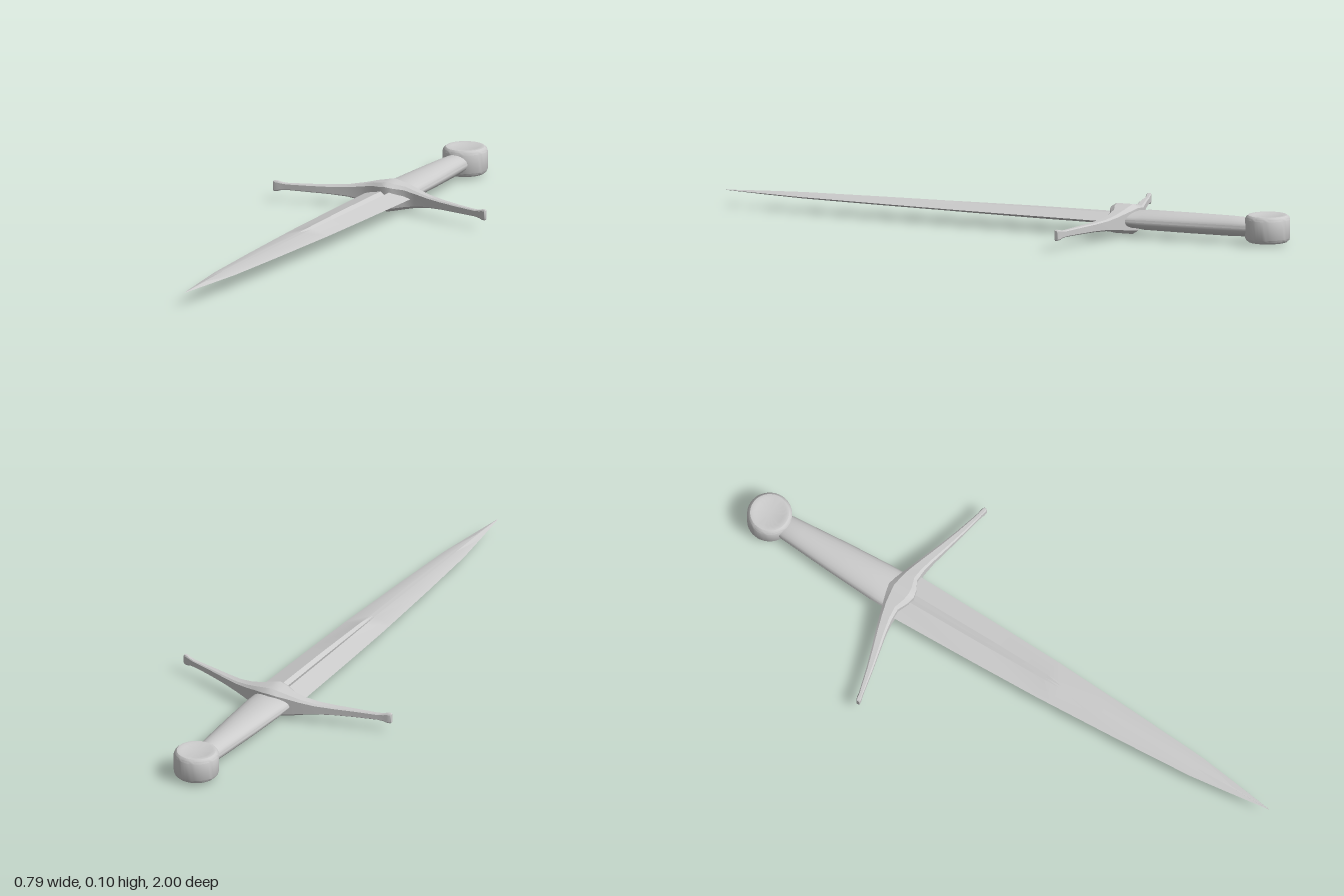
import * as THREE from 'three';
import { toCreasedNormals } from 'three/addons/utils/BufferGeometryUtils.js';

const MID = 0.051; // height of the dagger's centre plane

// Skin a list of closed rings (counter-clockwise seen from the loft direction) and cap both ends.
function loft(rings, crease) {
  const n = rings[0].length;
  const pos = rings.flat(2);
  const idx = [];
  for (let i = 0; i < rings.length - 1; i++) {
    for (let j = 0; j < n; j++) {
      const k = (j + 1) % n;
      const a = i * n + j, b = i * n + k, c = b + n, d = a + n;
      idx.push(a, b, c, a, c, d);
    }
  }
  const cap = (start, flip) => {
    const ring = rings[start / n];
    const centre = pos.length / 3;
    for (let m = 0; m < 3; m++) pos.push(ring.reduce((s, p) => s + p[m], 0) / n);
    for (let j = 0; j < n; j++) {
      const a = start + j, b = start + (j + 1) % n;
      if (flip) idx.push(centre, b, a);
      else idx.push(centre, a, b);
    }
  };
  cap(0, true);
  cap((rings.length - 1) * n, false);
  const g = new THREE.BufferGeometry();
  g.setAttribute('position', new THREE.Float32BufferAttribute(pos, 3));
  g.setIndex(idx);
  return toCreasedNormals(g, crease);
}

export function createModel() {
  const group = new THREE.Group();
  const material = new THREE.MeshStandardMaterial({ color: 0xcccccc });
  const add = (name, geometry) => {
    const mesh = new THREE.Mesh(geometry, material);
    mesh.name = name;
    group.add(mesh);
    return mesh;
  };

  // Blade: flattened diamond with a central fuller that fades out, then a sharp point.
  // z, half width, half thickness, shoulder of the fuller, fuller depth
  const blade = [
    [-0.42, 0.085, 0.019, 0.016, 0.009],
    [-0.1, 0.078, 0.018, 0.014, 0.008],
    [0.14, 0.071, 0.016, 0.01, 0.006],
    [0.2, 0.068, 0.0155, 0.008, 0],
    [0.45, 0.055, 0.013, 0.008, 0],
    [0.72, 0.038, 0.01, 0.005, 0],
    [0.86, 0.02, 0.006, 0.002, 0],
    [1.0, 0.0008, 0.0006, 0.0002, 0],
  ].map(([z, w, t, s, f]) => [
    [w, 0], [s, t], [0, t - f], [-s, t], [-w, 0], [-s, -t], [0, f - t], [s, -t],
  ].map(([x, y]) => [x, y + MID, z]));
  add('blade', loft(blade, 0.3));

  // Crossguard: chamfered bar sweeping toward the point, peaked in the middle, flared at the tips.
  // x, back z, front z, half height
  const half = [
    [0, -0.465, -0.37, 0.05],
    [0.025, -0.46, -0.376, 0.045],
    [0.06, -0.45, -0.394, 0.038],
    [0.1, -0.438, -0.394, 0.028],
    [0.15, -0.422, -0.386, 0.019],
    [0.21, -0.401, -0.372, 0.0145],
    [0.28, -0.378, -0.356, 0.0125],
    [0.35, -0.358, -0.342, 0.011],
    [0.37, -0.352, -0.338, 0.0135],
    [0.382, -0.35, -0.334, 0.0175],
    [0.393, -0.347, -0.333, 0.0175],
    [0.396, -0.345, -0.335, 0.015],
  ];
  const left = half.slice(1).reverse().map(([x, ...r]) => [-x, ...r]);
  const guard = [...left, ...half].map(([x, back, front, h]) => {
    const c = (back + front) / 2, d = (front - back) / 2;
    return [
      [0.75, -1], [1, -0.6], [1, 0.6], [0.75, 1],
      [-0.75, 1], [-1, 0.6], [-1, -0.6], [-0.75, -1],
    ].map(([v, u]) => [x, 0.05 + v * h, c + u * d]);
  });
  add('crossguard', loft(guard, 0.5));

  // Grip: smooth oval tapering toward the pommel.
  const grip = [
    [-0.88, 0.04, 0.026],
    [-0.855, 0.043, 0.031],
    [-0.8, 0.047, 0.033],
    [-0.65, 0.059, 0.033],
    [-0.5, 0.068, 0.032],
    [-0.47, 0.069, 0.028],
    [-0.43, 0.069, 0.027],
  ].map(([z, rx, ry]) => Array.from({ length: 24 }, (_, i) => {
    const a = (i / 24) * Math.PI * 2;
    return [rx * Math.cos(a), MID + ry * Math.sin(a), z];
  }));
  add('grip', loft(grip, 0.7));

  // Pommel: upright disc with bevelled rims and shallow dished faces.
  const top = [[0.074, 0.031], [0.071, 0.038], [0.064, 0.044], [0.055, 0.045], [0.046, 0.042], [0, 0.042]];
  const bottom = top.map(([r, y]) => [r, -y]).reverse();
  const profile = [...bottom, ...top].map(([r, y]) => new THREE.Vector2(r, y));
  const pommel = add('pommel', toCreasedNormals(new THREE.LatheGeometry(profile, 40), 0.5));
  pommel.position.set(0, MID + 0.001, -0.926);

  return group;
}
